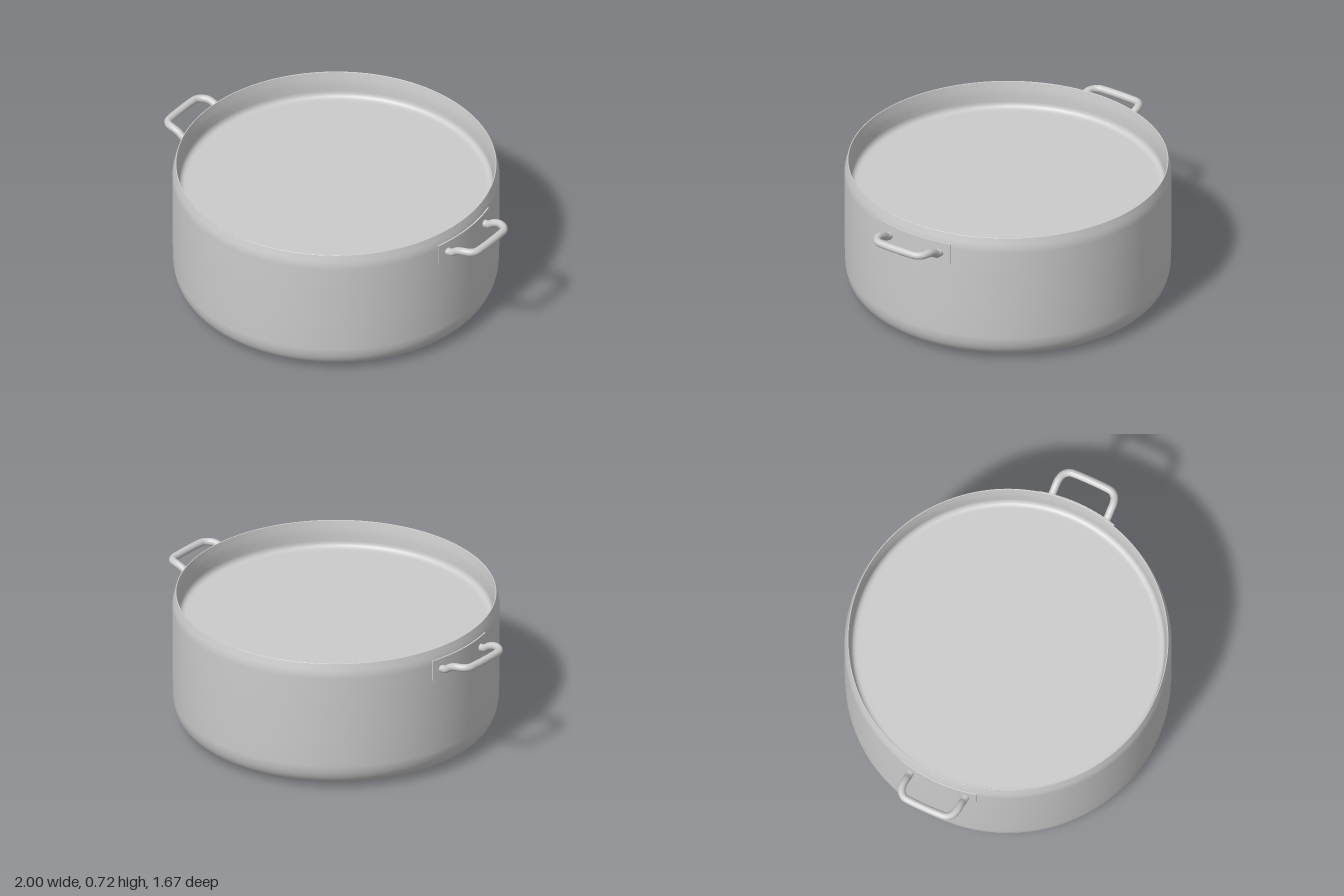
import * as THREE from 'three';

const material = new THREE.MeshStandardMaterial({ color: 0xcccccc });

function addMesh(parent, name, geometry) {
  const mesh = new THREE.Mesh(geometry, material);
  mesh.name = name;
  parent.add(mesh);
  return mesh;
}

const lathe = (points) =>
  new THREE.LatheGeometry(points.map(([r, y]) => new THREE.Vector2(r, y)), 128);

// Quarter-round run of profile points, corner rounded by a quadratic curve
function rounded(from, corner, to, steps) {
  const v = (p) => new THREE.Vector2(...p);
  return new THREE.QuadraticBezierCurve(v(from), v(corner), v(to))
    .getPoints(steps).map((p) => [p.x, p.y]);
}

// Thin box bent around the pot wall on the +x side
function curvedPlate(radius, thickness, height, width) {
  const geo = new THREE.BoxGeometry(thickness, height, width, 1, 1, 16);
  const pos = geo.attributes.position;
  for (let i = 0; i < pos.count; i++) {
    const r = radius + pos.getX(i);
    const angle = Math.asin(pos.getZ(i) / radius);
    pos.setX(i, r * Math.cos(angle));
    pos.setZ(i, r * Math.sin(angle));
  }
  geo.computeVertexNormals();
  return geo;
}

// Looped tube handle with its mounting plate, on the +x side
function makeHandle(name) {
  const group = new THREE.Group();
  group.name = name;
  const plate = addMesh(group, 'mountingPlate', curvedPlate(0.832, 0.014, 0.11, 0.42));
  plate.position.y = 0.61;

  const half = [
    [0.815, 0.606, 0.155], [0.85, 0.61, 0.155], [0.885, 0.633, 0.155], [0.92, 0.644, 0.154],
    [0.955, 0.645, 0.142], [0.975, 0.645, 0.118], [0.98, 0.645, 0.08],
  ];
  const mirrored = half.map(([x, y, z]) => [x, y, -z]).reverse();
  const path = new THREE.CatmullRomCurve3(
    [...half, ...mirrored].map((p) => new THREE.Vector3(...p)), false, 'centripetal');
  addMesh(group, 'handleTube', new THREE.TubeGeometry(path, 96, 0.02, 16));
  return group;
}

export function createModel() {
  const model = new THREE.Group();
  model.name = 'pot';

  // Base disc standing slightly proud of the body
  addMesh(model, 'baseDisc', new THREE.CylinderGeometry(0.62, 0.62, 0.012, 96))
    .position.y = 0.006;

  // Outer wall: rounded bottom, straight side, taper below the rim
  addMesh(model, 'outerWall', lathe([
    [0, 0.006], [0.6, 0.006],
    ...rounded([0.7, 0.006], [0.82, 0.006], [0.829, 0.14], 14),
    [0.833, 0.3], [0.833, 0.5], [0.833, 0.64], [0.831, 0.665], [0.826, 0.685], [0.817, 0.718],
  ]));

  // Narrow lip
  addMesh(model, 'rim', lathe([[0.817, 0.718], [0.815, 0.72], [0.812, 0.718]]));

  // Inner wall running down into the raised floor with a small fillet
  addMesh(model, 'innerWallAndFloor', lathe([
    [0.812, 0.718], [0.805, 0.68], [0.801, 0.65],
    ...rounded([0.8, 0.61], [0.798, 0.575], [0.765, 0.575], 8),
    [0.74, 0.575], [0, 0.575],
  ]));

  // Two side handles
  model.add(makeHandle('leftHandle'));
  const right = makeHandle('rightHandle');
  right.rotation.y = Math.PI;
  model.add(right);
  return model;
}
